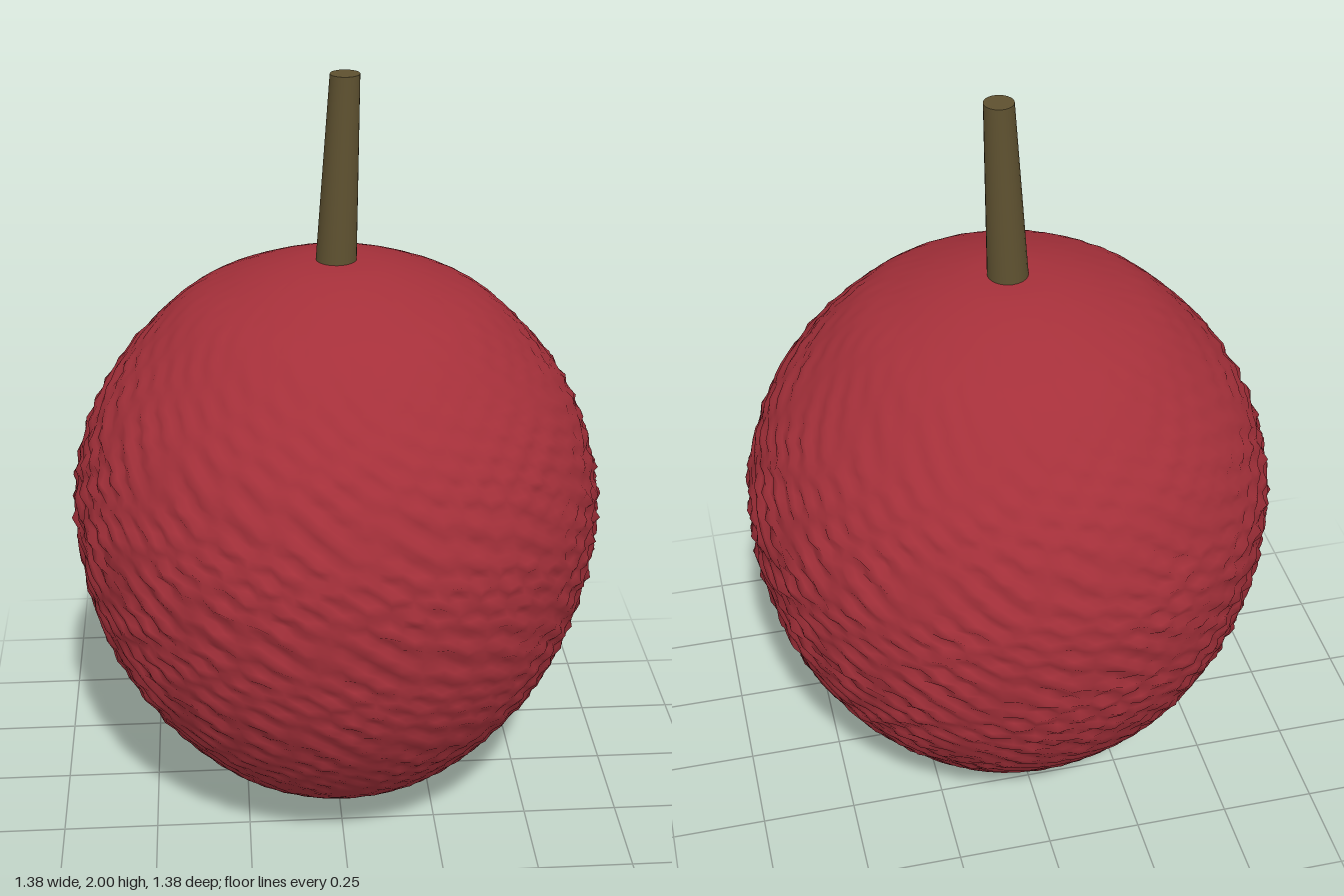
import * as THREE from 'three';
import { mergeVertices } from 'three/addons/utils/BufferGeometryUtils.js';

const skin = new THREE.MeshStandardMaterial({ color: 0xa5303a });
skin.name = 'red skin';
const bark = new THREE.MeshStandardMaterial({ color: 0x5e5130 });
bark.name = 'brown stem';

// Uneven scales, wider than tall: a is the angle round the axis, t runs from bottom to top
function bump(a, t) {
  const v = t * Math.PI * 2;
  const scales = Math.sin(27 * a + 1.6 * Math.sin(5 * v + 2 * Math.sin(a))) *
    Math.sin(24 * v + 1.2 * Math.sin(7 * a));
  const ripples = Math.sin(46 * a + 17 * v) * 0.45 + Math.sin(35 * a - 21 * v + Math.sin(3 * a)) * 0.45;
  return 0.55 * scales + 0.5 * ripples;
}

// Fruit: a turned profile whose skin is roughened towards the widest part
function createFruit() {
  const profile = new THREE.SplineCurve([
    [0, 0.005], [0.14, 0.025], [0.28, 0.095], [0.42, 0.205], [0.565, 0.4], [0.65, 0.61],
    [0.682, 0.84], [0.662, 1.02], [0.58, 1.21], [0.415, 1.395], [0.27, 1.475], [0.12, 1.522], [0, 1.53],
  ].map(([x, y]) => new THREE.Vector2(x, y)));
  const rows = 110;
  const points = profile.getSpacedPoints(rows);
  points[0].x = points[rows].x = 0;
  let geometry = new THREE.LatheGeometry(points, 150);
  geometry.deleteAttribute('uv');
  geometry.deleteAttribute('normal');
  geometry = mergeVertices(geometry, 1e-5);

  const pos = geometry.attributes.position;
  for (let i = 0; i < pos.count; i++) {
    const x = pos.getX(i), y = pos.getY(i), z = pos.getZ(i);
    const r = Math.hypot(x, z);
    if (r < 1e-4) continue;
    const fade = Math.pow(Math.min(r / 0.68, 1), 2.5);
    const k = 1 + 0.016 * fade * bump(Math.atan2(x, z), y / 1.53) / r;
    pos.setXYZ(i, x * k, y, z * k);
  }
  geometry.computeVertexNormals();
  const fruit = new THREE.Mesh(geometry, skin);
  fruit.name = 'fruit';
  return fruit;
}

// Stem: a tapered cylinder sheared towards +x
function createStem() {
  const height = 0.49;
  const geometry = new THREE.CylinderGeometry(0.037, 0.052, height, 24);
  geometry.translate(0, height / 2, 0);
  const pos = geometry.attributes.position;
  for (let i = 0; i < pos.count; i++) {
    pos.setX(i, pos.getX(i) + 0.022 * pos.getY(i) / height);
  }
  const stem = new THREE.Mesh(geometry, bark);
  stem.name = 'stem';
  stem.position.y = 2 - height;
  return stem;
}

export function createModel() {
  const model = new THREE.Group();
  model.name = 'fruit with stem';
  model.add(createFruit(), createStem());
  return model;
}
